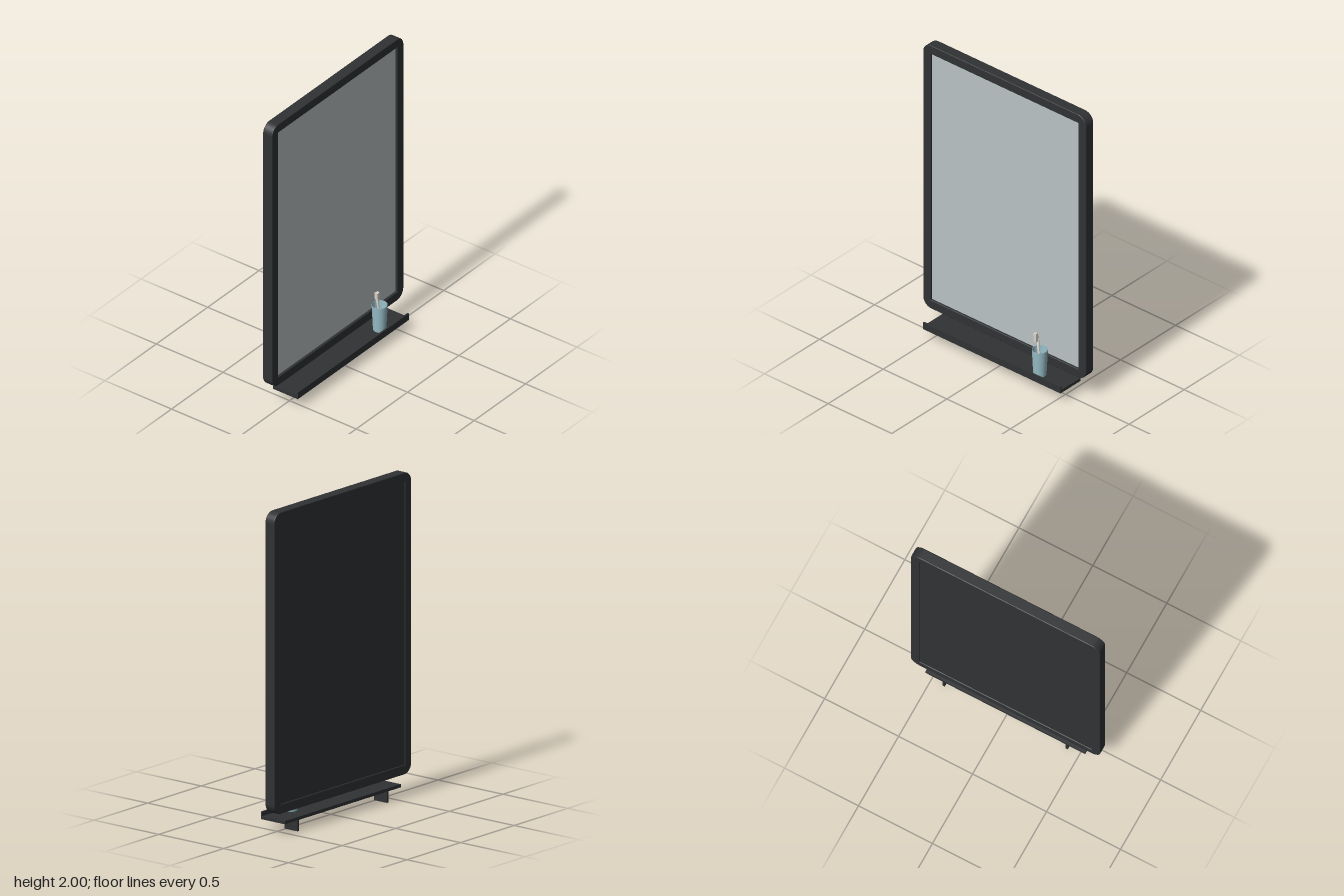
import * as THREE from 'three';

const mat = (color, side = THREE.FrontSide) => {
  const m = new THREE.MeshStandardMaterial({ color });
  m.side = side;
  return m;
};

function add(parent, name, geometry, material, x = 0, y = 0, z = 0) {
  const mesh = new THREE.Mesh(geometry, material);
  mesh.name = name;
  mesh.position.set(x, y, z);
  parent.add(mesh);
  return mesh;
}

// Rounded rectangle outline centred on the origin
function roundedRect(w, h, r) {
  const s = new THREE.Shape();
  const x = w / 2, y = h / 2;
  s.moveTo(-x + r, -y);
  s.lineTo(x - r, -y);
  s.absarc(x - r, -y + r, r, -Math.PI / 2, 0);
  s.lineTo(x, y - r);
  s.absarc(x - r, y - r, r, 0, Math.PI / 2);
  s.lineTo(-x + r, y);
  s.absarc(-x + r, y - r, r, Math.PI / 2, Math.PI);
  s.lineTo(-x, -y + r);
  s.absarc(-x + r, -y + r, r, Math.PI, Math.PI * 1.5);
  return s;
}

export function createModel() {
  const model = new THREE.Group();
  model.name = 'wallMirrorWithShelf';
  const dark = mat(0x303234);
  const white = mat(0xe6e2dc);

  // Mirror: softened frame, glass and backing
  const mirror = new THREE.Group();
  mirror.name = 'mirror';
  mirror.position.y = 1.07;
  model.add(mirror);
  const bevel = 0.005, depth = 0.07;
  const outline = roundedRect(1.28 - 2 * bevel, 1.86 - 2 * bevel, 0.06);
  const hx = 0.58 + bevel, hy = 0.87 + bevel;
  outline.holes.push(new THREE.Path([
    new THREE.Vector2(-hx, -hy), new THREE.Vector2(-hx, hy),
    new THREE.Vector2(hx, hy), new THREE.Vector2(hx, -hy),
  ]));
  add(mirror, 'frame', new THREE.ExtrudeGeometry(outline, {
    depth: depth - 2 * bevel, bevelEnabled: true, bevelSize: bevel,
    bevelThickness: bevel, bevelSegments: 3, curveSegments: 10,
  }), dark, 0, 0, -0.093 + bevel);
  add(mirror, 'glass', new THREE.BoxGeometry(1.17, 1.75, 0.006), mat(0xb9c2c4), 0, 0, -0.041);
  add(mirror, 'backPanel', new THREE.BoxGeometry(1.17, 1.75, 0.04), dark, 0, 0, -0.068);

  // Shelf: board, raised front lip and two brackets
  const shelf = new THREE.Group();
  shelf.name = 'shelf';
  model.add(shelf);
  add(shelf, 'shelfBoard', new THREE.BoxGeometry(1.08, 0.02, 0.185), dark, 0, 0.078, 0);
  add(shelf, 'frontLip', new THREE.BoxGeometry(1.08, 0.046, 0.011), dark, 0, 0.092, 0.088);
  for (const side of [-1, 1]) {
    add(shelf, side > 0 ? 'leftBracket' : 'rightBracket',
      new THREE.BoxGeometry(0.014, 0.07, 0.1), dark, side * 0.416, 0.035, -0.043);
  }

  // Tapered, thin-walled cup
  const cup = [[0, 0], [0.038, 0], [0.04, 0.003], [0.048, 0.176], [0.047, 0.178],
    [0.045, 0.176], [0.037, 0.008], [0, 0.008]].map(([r, y]) => new THREE.Vector2(r, y));
  add(model, 'cup', new THREE.LatheGeometry(cup, 40), mat(0x96bdc6, THREE.DoubleSide), 0.33, 0.088, 0.036);

  // Toothbrush leaning in the cup
  const brush = new THREE.Group();
  brush.name = 'toothbrush';
  model.add(brush);
  const path = new THREE.CatmullRomCurve3([
    new THREE.Vector3(0.347, 0.1, 0.034), new THREE.Vector3(0.33, 0.2, 0.036),
    new THREE.Vector3(0.316, 0.27, 0.034), new THREE.Vector3(0.311, 0.31, 0.03),
    new THREE.Vector3(0.303, 0.345, 0.028),
  ]);
  add(brush, 'handle', new THREE.TubeGeometry(path, 24, 0.0075, 10), white);
  const head = add(brush, 'head', new THREE.CapsuleGeometry(0.009, 0.035, 4, 12), white, 0.304, 0.337, 0.029);
  head.rotation.z = 0.1;
  const bristles = add(brush, 'bristles', new THREE.BoxGeometry(0.021, 0.056, 0.018),
    mat(0xd8d2ca), 0.302, 0.34, 0.042);
  bristles.rotation.z = 0.06;

  return model;
}
